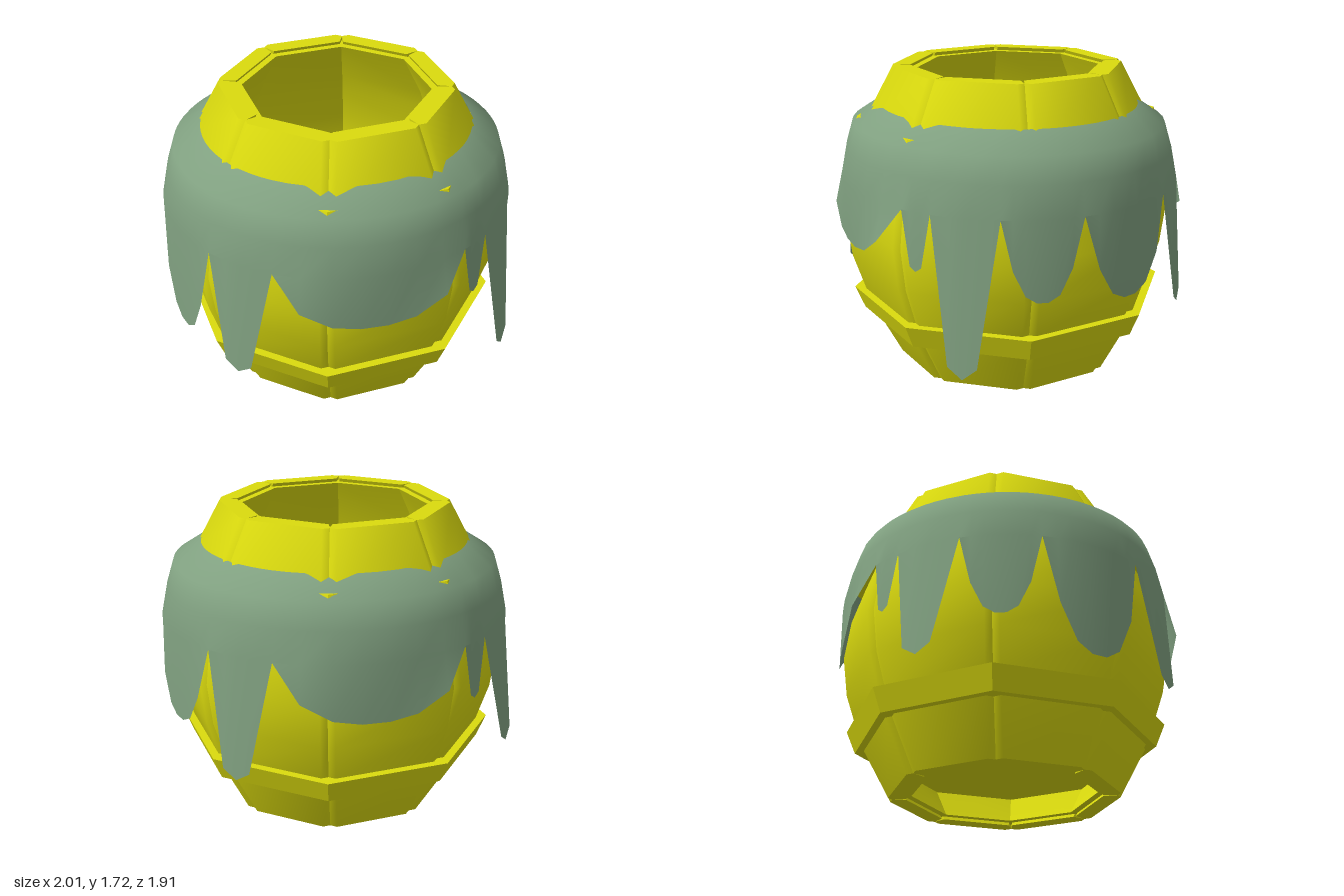
import * as THREE from 'three';
import { toCreasedNormals } from 'three/addons/utils/BufferGeometryUtils.js';

const H = 1.72, SIDES = 8, HALF = Math.PI / SIDES;
// barrel profile: [height, distance from axis to the flat of a stave], mirrored above the middle
const LOWER = [[0, 0.61], [0.28, 0.75], [0.41, 0.795], [0.62, 0.86]];
const PROFILE = [...LOWER, [H / 2, 0.89], ...LOWER.map(([y, a]) => [H - y, a]).reverse()];

// surface through stacked closed loops, bottom to top, with optional caps
function loft(loops, caps) {
  const n = loops[0].length, idx = [];
  for (let j = 0; j < loops.length - 1; j++) {
    for (let i = 0; i < n; i++) {
      const a = j * n + i, b = j * n + (i + 1) % n;
      idx.push(a, b, b + n, a, b + n, a + n);
    }
  }
  if (caps) {
    const t = (loops.length - 1) * n;
    for (let i = 1; i < n - 1; i++) idx.push(0, i + 1, i, t, t + i, t + i + 1);
  }
  const g = new THREE.BufferGeometry();
  g.setAttribute('position', new THREE.Float32BufferAttribute(loops.flat(2), 3));
  g.setIndex(idx);
  g.computeVertexNormals();
  return g;
}

// eight-sided ring from a closed profile of [flat distance, height]
function octagonRing(points) {
  const pts = points.map(([a, y]) => new THREE.Vector2(a / Math.cos(HALF), y));
  return toCreasedNormals(new THREE.LatheGeometry(pts, SIDES, HALF), 0.5);
}

// one bevelled stave facing +z
function staveGeometry() {
  const bevel = 0.03;
  const loops = PROFILE.map(([y, a]) => {
    const w = a * Math.tan(HALF) - 0.012;
    return [[-w + 0.04, y, a - 0.1], [-w, y, a - bevel], [-w + bevel, y, a],
      [w - bevel, y, a], [w, y, a - bevel], [w - 0.04, y, a - 0.1]];
  });
  return toCreasedNormals(loft(loops, true), 0.9);
}

// drips on the front half turn, repeated on the back half:
// [start angle, end angle, lowest height front, same at back, tip radius, outward bow at the sides]
const DRIPS = [
  [-36, 26.5, 0.77, 0.77, 0.985, 0.1],
  [26.5, 37, 0.78, 0.78, 1.0, 0],
  [37, 59, 0.25, 0.43, 1.07, 0],
  [59, 85, 0.65, 0.65, 0.98, 0.01],
  [85, 121, 0.61, 0.46, 0.995, 0.02],
  [121, 144, 0.42, 0.42, 1.04, 0],
];
const NOTCH_Y = 1.1, NOTCH_R = 0.99;

// lower edge of the slime as [angle, height, radius]
function dripEdge() {
  const edge = [];
  for (const back of [0, 1]) {
    for (const [start, end, lowFront, lowBack, radius, bow] of DRIPS) {
      const low = back ? lowBack : lowFront;
      const steps = bow > 0 ? [-0.72, -0.42, -0.14, 0.14, 0.42, 0.72] : [-0.4, 0, 0.4];
      edge.push([start + back * 180, NOTCH_Y, NOTCH_R]);
      for (const s of steps) {
        const angle = (start + end) / 2 + s * (end - start) / 2 + back * 180;
        const depth = 1 - Math.abs(s) ** 2.8;
        edge.push([angle, NOTCH_Y - (NOTCH_Y - low) * depth, radius + bow * s * s]);
      }
    }
  }
  return edge;
}

function slimeGeometry() {
  const edge = dripEdge();
  const point = (angle, y, r) => {
    const t = THREE.MathUtils.degToRad(angle);
    return [r * Math.sin(t), y, r * 0.965 * Math.cos(t)];
  };
  const collar = [[NOTCH_Y, NOTCH_R], [1.27, 0.955], [1.41, 0.912], [1.51, 0.755]];
  return loft([
    edge.map(e => point(...e)),
    ...collar.map(([y, r]) => edge.map(e => point(e[0], y, r))),
  ], false);
}

export function createModel() {
  const yellow = new THREE.MeshStandardMaterial({ color: 0xdada0e });
  yellow.name = 'yellow wood';
  const green = new THREE.MeshStandardMaterial({ color: 0x80a080, side: THREE.DoubleSide });
  green.name = 'grey green slime';

  const model = new THREE.Group();
  model.name = 'slimeBarrel';
  const barrel = new THREE.Group();
  barrel.name = 'barrel';
  barrel.rotation.y = 0.04;
  model.add(barrel);
  const add = (parent, name, geometry, material) => {
    const mesh = new THREE.Mesh(geometry, material);
    mesh.name = name;
    parent.add(mesh);
    return mesh;
  };

  // staves
  const stave = staveGeometry();
  for (let i = 0; i < SIDES; i++) add(barrel, 'stave' + (i + 1), stave, yellow).rotation.y = i * 2 * HALF;

  // hollow lining behind the gaps
  const level = y => THREE.MathUtils.clamp(y, 0.02, H - 0.02);
  const outer = PROFILE.map(([y, a]) => [a - 0.05, level(y)]);
  const inner = PROFILE.map(([y, a]) => [a - 0.13, level(y)]).reverse();
  add(barrel, 'lining', octagonRing([...outer, ...inner, outer[0]]), yellow);

  // recessed floor
  const floor = new THREE.CylinderGeometry(0.64, 0.64, 0.04, SIDES, 1, false, HALF);
  add(barrel, 'floor', floor, yellow).position.y = 0.2;

  // lower and upper hoops, mirrored in height
  const lower = [[0.72, 0.28], [0.79, 0.28], [0.84, 0.41], [0.72, 0.41], [0.72, 0.28]];
  const upper = lower.map(([a, y]) => [a, H - y]).reverse();
  add(barrel, 'lowerHoop', octagonRing(lower), yellow);
  add(barrel, 'upperHoop', octagonRing(upper), yellow);

  // slime draped round the upper half
  add(model, 'slime', slimeGeometry(), green);
  return model;
}
